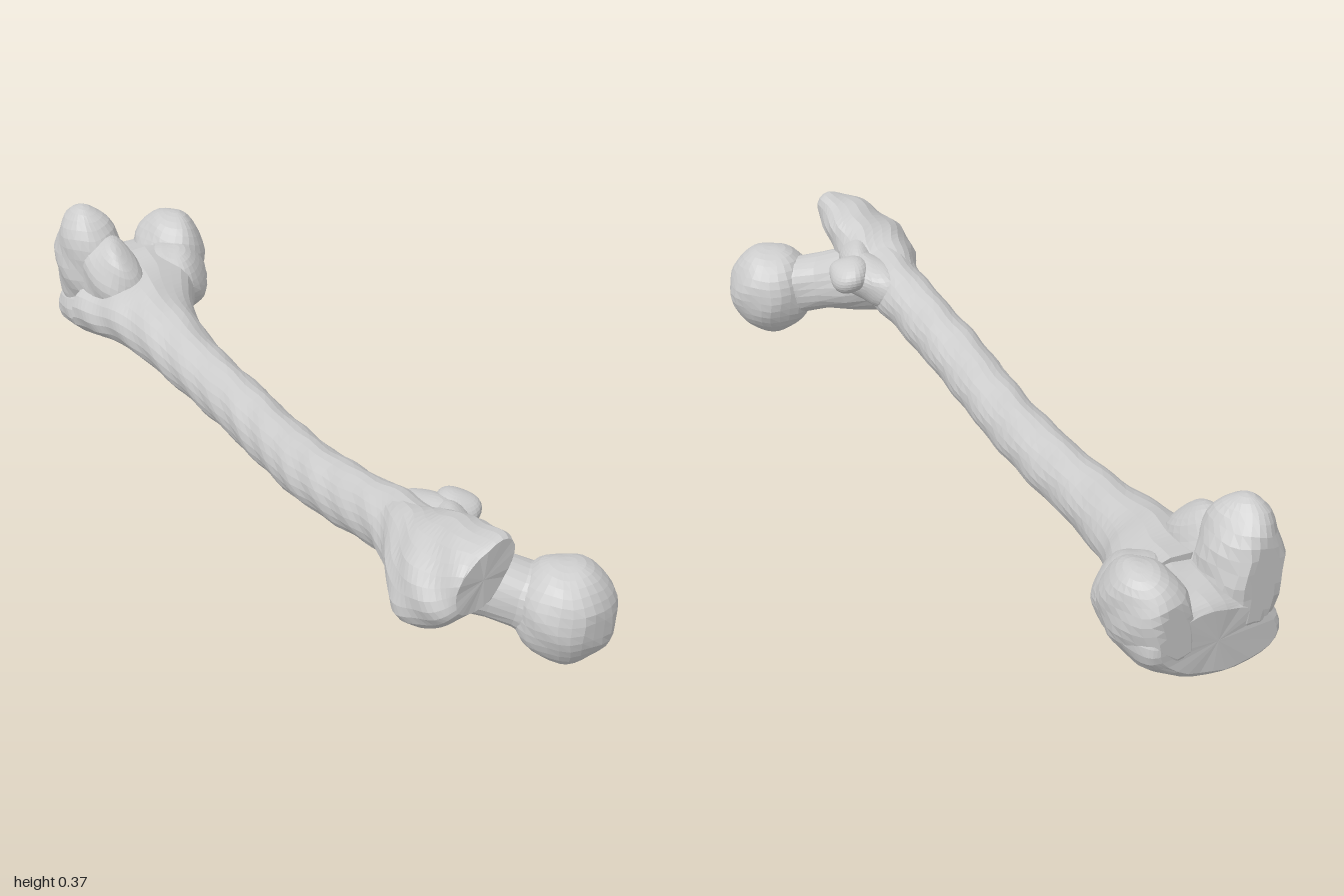
import * as THREE from 'three';

const material = new THREE.MeshStandardMaterial({ color: 0xcccccc, flatShading: true });

// Gentle uneven surface; the ends stay flat between zMin and zMax
function weather(geometry, amount, zMin = -1, zMax = 1) {
  const p = geometry.attributes.position;
  for (let i = 0; i < p.count; i++) {
    const x = p.getX(i), y = p.getY(i), z = p.getZ(i);
    p.setXYZ(i,
      x + amount * Math.sin(61 * y + 43 * z),
      y + amount * Math.sin(57 * x + 39 * z + 1),
      THREE.MathUtils.clamp(z + amount * Math.sin(53 * x + 47 * y + 2), zMin, zMax));
  }
  geometry.computeVertexNormals();
  return geometry;
}

function makeMesh(name, geometry) {
  const mesh = new THREE.Mesh(geometry, material);
  mesh.name = name;
  return mesh;
}

// Capped loft along z. Stations: [z, x, y, radiusX, radiusY, tilt]
function loft(name, stations, steps, sides, { ridge = 0, amount = 0.002, zMax = 1 } = {}) {
  const curve = (f) => new THREE.CatmullRomCurve3(stations.map(f), false, 'catmullrom', 0.5);
  const centres = curve((s) => new THREE.Vector3(s[1], s[2], s[0]));
  const sizes = curve((s) => new THREE.Vector3(s[3], s[4], s[5] || 0));
  const pos = [], index = [];
  for (let i = 0; i <= steps; i++) {
    const c = centres.getPoint(i / steps), r = sizes.getPoint(i / steps);
    for (let j = 0; j < sides; j++) {
      const a = (j / sides) * Math.PI * 2;
      const k = 1 + ridge * Math.exp(-(((a - Math.PI / 2) / 0.35) ** 2));
      const u = r.x * k * Math.cos(a), v = r.y * k * Math.sin(a);
      pos.push(c.x + u * Math.cos(r.z) - v * Math.sin(r.z),
        c.y + u * Math.sin(r.z) + v * Math.cos(r.z), c.z);
    }
  }
  const first = pos.length / 3;
  for (const t of [0, 1]) pos.push(...centres.getPoint(t).toArray());
  for (let j = 0; j < sides; j++) {
    const n = (j + 1) % sides, top = steps * sides;
    for (let i = 0; i < steps; i++) {
      const a = i * sides + j, b = i * sides + n;
      index.push(a, b, b + sides, a, b + sides, a + sides);
    }
    index.push(first, n, j, first + 1, top + j, top + n);
  }
  const geometry = new THREE.BufferGeometry();
  geometry.setAttribute('position', new THREE.Float32BufferAttribute(pos, 3));
  geometry.setIndex(index);
  return makeMesh(name, weather(geometry, amount, -1, zMax));
}

// Ellipsoid knob, flattened where it meets the end planes
function knob(name, centre, radii, euler = [0, 0, 0], amount = 0.003) {
  const geometry = new THREE.SphereGeometry(1, 26, 18);
  geometry.scale(...radii);
  geometry.applyQuaternion(new THREE.Quaternion().setFromEuler(new THREE.Euler(...euler)));
  geometry.translate(...centre);
  return makeMesh(name, weather(geometry, amount));
}

export function createModel() {
  const bone = new THREE.Group();
  bone.name = 'thighBone';

  // Bowed shaft, flaring towards the knee end, with a ridge along its top
  bone.add(loft('shaft', [
    [-0.86, 0.10, 0.135, 0.19, 0.10, 0.15],
    [-0.78, 0.085, 0.138, 0.165, 0.092, 0.12],
    [-0.70, 0.055, 0.140, 0.125, 0.088, 0.08],
    [-0.60, 0.028, 0.132, 0.092, 0.079],
    [-0.40, -0.005, 0.122, 0.070, 0.071],
    [-0.20, -0.033, 0.123, 0.067, 0.069],
    [0.00, -0.070, 0.129, 0.066, 0.068],
    [0.20, -0.110, 0.149, 0.068, 0.069],
    [0.40, -0.135, 0.178, 0.066, 0.071],
    [0.55, -0.150, 0.203, 0.070, 0.074],
    [0.68, -0.175, 0.208, 0.080, 0.082],
  ], 60, 24, { ridge: 0.05 }));

  // Knee end: joined base and the two condyles
  bone.add(loft('kneeEndBase', [
    [-1.00, 0.12, 0.115, 0.155, 0.070, 0.22],
    [-0.98, 0.12, 0.115, 0.178, 0.086, 0.22],
    [-0.93, 0.12, 0.117, 0.188, 0.096, 0.2],
    [-0.86, 0.11, 0.130, 0.190, 0.097, 0.18],
    [-0.78, 0.085, 0.138, 0.160, 0.090, 0.12],
  ], 14, 28));
  bone.add(knob('outerCondyle', [0.012, 0.205, -0.915], [0.084, 0.165, 0.105], [0, 0, 0.13]));
  bone.add(knob('outerCondyleSlope', [0.015, 0.200, -0.83], [0.072, 0.105, 0.12], [0.45, 0, 0.1]));
  bone.add(knob('innerCondyle', [0.232, 0.175, -0.905], [0.083, 0.122, 0.115], [0, 0, -0.25]));
  bone.add(knob('innerCondyleSlope', [0.19, 0.155, -0.82], [0.09, 0.09, 0.11], [0.2, -0.5, 0]));

  // Hip end: flat-topped greater trochanter
  bone.add(loft('greaterTrochanter', [
    [0.52, -0.150, 0.200, 0.060, 0.066, 0.2],
    [0.62, -0.172, 0.210, 0.080, 0.080, 0.4],
    [0.70, -0.198, 0.215, 0.113, 0.085, 0.65],
    [0.76, -0.212, 0.222, 0.130, 0.084, 0.7],
    [0.82, -0.215, 0.238, 0.122, 0.074, 0.75],
    [0.87, -0.210, 0.258, 0.104, 0.060, 0.75],
    [0.89, -0.207, 0.265, 0.090, 0.050, 0.75],
  ], 26, 24, { amount: 0.003, zMax: 0.89 }));
  bone.add(knob('trochanterBase', [-0.18, 0.175, 0.73], [0.075, 0.075, 0.10], [0, 0.4, 0]));

  // Lesser trochanter and the crest linking it to the greater one
  bone.add(knob('lesserTrochanter', [-0.055, 0.242, 0.62], [0.052, 0.042, 0.062], [0, -0.4, 0]));
  bone.add(knob('lesserTrochanterRoot', [-0.105, 0.222, 0.61], [0.055, 0.058, 0.12]));
  bone.add(knob('crest', [-0.125, 0.250, 0.69], [0.045, 0.040, 0.095], [0, -0.5, 0]));

  // Waisted neck from the trochanters to the head
  const from = new THREE.Vector3(-0.17, 0.185, 0.68), to = new THREE.Vector3(0, 0.12, 0.89);
  const axis = to.clone().sub(from), length = axis.length();
  const profile = [[0, 0], [0.085, 0], [0.082, 0.25], [0.071, 0.5], [0.070, 0.7], [0.082, 0.88], [0.085, 1], [0, 1]]
    .map(([r, t]) => new THREE.Vector2(r, t * length));
  const neck = new THREE.LatheGeometry(profile, 24);
  neck.applyQuaternion(new THREE.Quaternion().setFromUnitVectors(new THREE.Vector3(0, 1, 0), axis.normalize()));
  neck.translate(...from.toArray());
  bone.add(makeMesh('neck', weather(neck, 0.002)));

  // Ball head, slightly flattened at its tip
  bone.add(knob('head', [0.006, 0.118, 0.895], [0.108, 0.114, 0.111], [0, 0, 0], 0.002));

  return bone;
}
